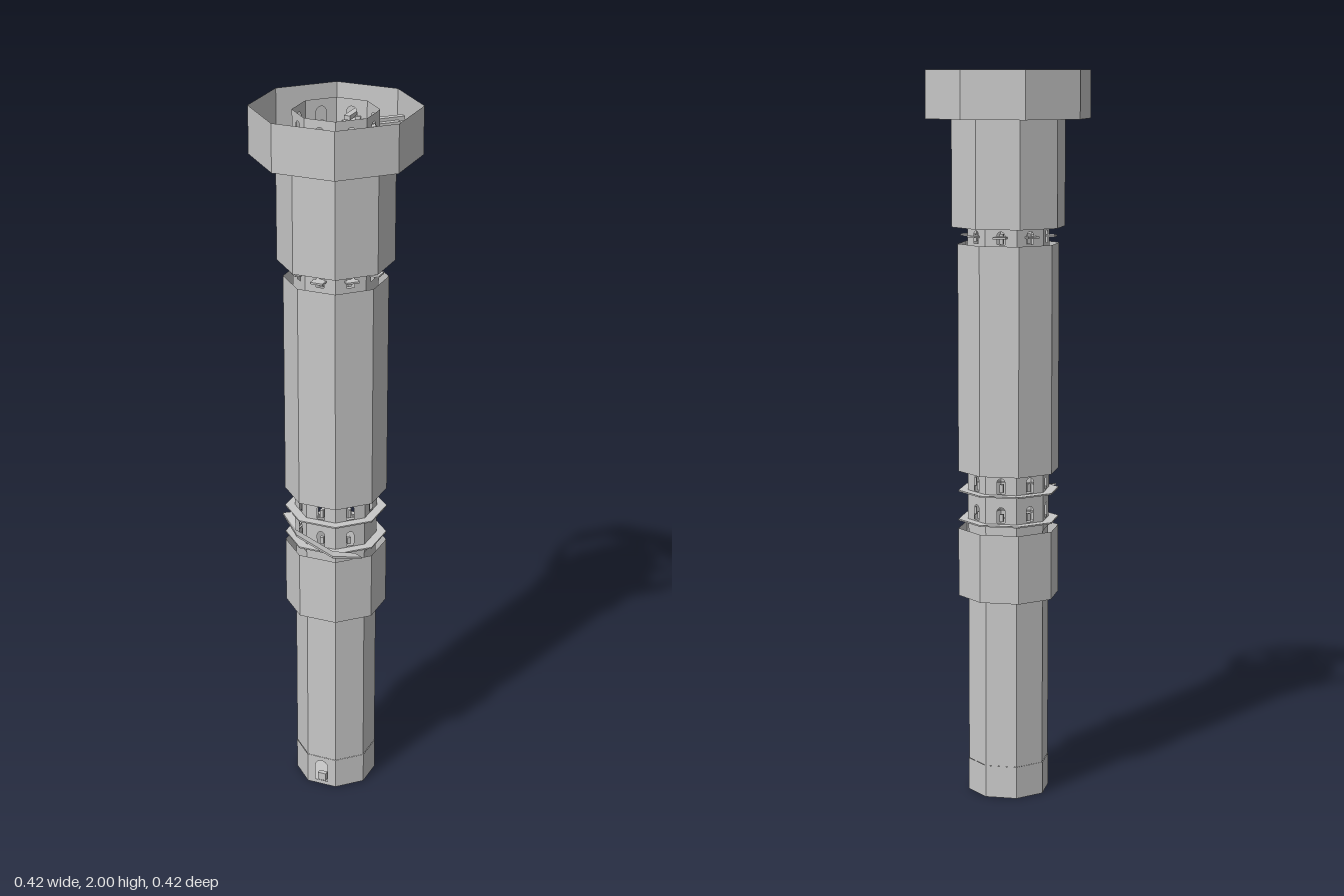
import * as THREE from 'three';

const stone = new THREE.MeshStandardMaterial({ color: 0xc8c8c8, side: THREE.DoubleSide, flatShading: true });
stone.name = 'pale grey';
const TAN = Math.tan(Math.PI / 8), COS = Math.cos(Math.PI / 8);

export function createModel() {
  const root = new THREE.Group();
  root.name = 'octagonalTower';

  const add = (name, geo, parent = root) => {
    const m = new THREE.Mesh(geo, stone);
    m.name = name;
    parent.add(m);
    return m;
  };

  // Open octagonal sleeve with flats facing the axes
  const sleeve = (name, apothem, y0, y1) => {
    const geo = new THREE.CylinderGeometry(apothem / COS, apothem / COS, y1 - y0, 8, 1, true);
    geo.rotateY(Math.PI / 8).translate(0, (y0 + y1) / 2, 0);
    add(name, geo);
  };

  const octagon = (T, apothem) => {
    const p = new T();
    for (let i = 0; i < 8; i++) {
      const a = Math.PI / 8 + i * Math.PI / 4, r = apothem / COS;
      p[i ? 'lineTo' : 'moveTo'](r * Math.cos(a), r * Math.sin(a));
    }
    return p.closePath();
  };

  // Flat octagonal floor, optionally ring shaped
  const plate = (name, apothem, y, inner = 0, depth = 0.004) => {
    const s = octagon(THREE.Shape, apothem);
    if (inner) s.holes.push(octagon(THREE.Path, inner));
    const geo = new THREE.ExtrudeGeometry(s, { depth, bevelEnabled: false });
    add(name, geo.rotateX(-Math.PI / 2).translate(0, y, 0));
  };

  // One side of the tower: group whose local +z points outward
  const side = (name, i) => {
    const g = new THREE.Group();
    g.name = name;
    g.rotation.y = i * Math.PI / 4;
    root.add(g);
    return g;
  };

  // Core wall band with arched openings on the chosen sides
  const archedBand = (name, apothem, y0, y1, archs, hasArch = () => true) => {
    const w = apothem * TAN;
    for (let i = 0; i < 8; i++) {
      const s = new THREE.Shape();
      s.moveTo(-w, y0).lineTo(w, y0).lineTo(w, y1).lineTo(-w, y1).closePath();
      for (const [b, h, r, row = 0] of archs) {
        if (!hasArch(i, row)) continue;
        const p = new THREE.Path();
        p.moveTo(-r, b).lineTo(-r, b + h - r);
        p.absarc(0, b + h - r, r, Math.PI, 0, true);
        p.lineTo(r, b).closePath();
        s.holes.push(p);
      }
      add('wall', new THREE.ShapeGeometry(s, 5).translate(0, 0, apothem), side(name, i));
    }
  };

  // Outer sleeves
  sleeve('lowerShaft', 0.104, 0.09, 0.56);
  sleeve('collar', 0.13, 0.56, 0.75);
  sleeve('upperShaft', 0.13, 0.91, 1.535);
  sleeve('head', 0.145, 1.58, 1.87);
  sleeve('crownRing', 0.21, 1.87, 2.0);

  // Inner core
  plate('baseFloor', 0.104, 0, 0, 0.002);
  archedBand('base', 0.105, 0, 0.09, [[0.012, 0.066, 0.019]], i => i === 0);
  sleeve('core', 0.103, 0.56, 0.75);
  archedBand('gallery', 0.105, 0.75, 0.91,
    [[0.78, 0.042, 0.011], [0.86, 0.042, 0.011, 1]], (i, row) => row === 1 || i !== 2);
  sleeve('core', 0.105, 0.91, 1.53);
  archedBand('neck', 0.105, 1.53, 1.59, [[1.538, 0.034, 0.011]]);
  sleeve('core', 0.105, 1.59, 1.87);
  archedBand('lookout', 0.105, 1.87, 1.99, [[1.925, 0.045, 0.014]]);
  plate('lookoutFloor', 0.104, 1.88);

  // Gallery walkways
  plate('lowerWalkway', 0.13, 0.772, 0.1);
  plate('upperWalkway', 0.13, 0.853, 0.1);

  // Ramp wrapping the front: outer x,z then inner x,z then height
  const steps = [
    [-0.115, 0.103, -0.088, 0.082, 0.857], [-0.042, 0.174, -0.056, 0.146, 0.836],
    [0.065, 0.174, 0.053, 0.146, 0.792], [0.126, 0.115, 0.1, 0.1, 0.774],
  ];
  const pos = [], idx = [];
  steps.forEach(([ox, oz, ix, iz, y], k) => {
    pos.push(ox, y, oz, ix, y, iz, ox, y - 0.006, oz, ix, y - 0.006, iz);
    if (!k) return;
    const a = 4 * (k - 1), b = 4 * k;
    for (const [p, q] of [[0, 1], [1, 3], [3, 2], [2, 0]])
      idx.push(a + p, b + p, b + q, a + p, b + q, a + q);
  });
  const rampGeo = new THREE.BufferGeometry();
  rampGeo.setAttribute('position', new THREE.Float32BufferAttribute(pos, 3));
  rampGeo.setIndex(idx);
  rampGeo.computeVertexNormals();
  add('ramp', rampGeo);

  const box = (name, parent, x0, x1, y0, y1, z0, z1) =>
    add(name, new THREE.BoxGeometry(x1 - x0, y1 - y0, z1 - z0)
      .translate((x0 + x1) / 2, (y0 + y1) / 2, (z0 + z1) / 2), parent);

  // Long beams jutting through the lookout: side, inner end, outer end
  for (const [i, z0, z1] of [[1, 0.035, 0.19], [2, 0.1, 0.193], [3, 0.075, 0.19], [4, 0.07, 0.195]]) {
    const g = side('beamMount', i);
    box('longBeam', g, -0.009, 0.008, 1.942, 1.954, z0, z1);
    box('shortBeam', g, -0.026, -0.011, 1.936, 1.946, z0 + 0.03, z1 - 0.02);
    box('mountBlock', g, -0.026, 0.026, 1.918, 1.93, 0.098, 0.138);
  }

  // Small fittings in the neck and gallery openings
  for (let i = 0; i < 8; i++) {
    const g = side('windowFitting', i);
    box('neckSill', g, -0.018, 0.018, 1.554, 1.559, 0.088, i % 2 ? 0.122 : 0.13);
    box('neckPost', g, -0.005, 0.005, 1.538, 1.566, 0.088, 0.098);
    box('galleryPost', g, -0.005, 0.005, 0.862, 0.885, 0.09, 0.1);
    box('lowerPost', g, -0.005, 0.005, 0.782, 0.802, 0.09, 0.1);
  }

  // Front canopy, and furniture inside the left-hand lookout windows
  box('frontSill', side('frontFitting', 0), -0.018, 0.018, 1.92, 1.928, 0.08, 0.142);
  for (const i of [5, 6, 7]) {
    const g = side('lookoutFitting', i);
    box('bench', g, -0.03, 0.03, 1.884, 1.9, 0.085, 0.103);
    box('sill', g, -0.014, 0.014, 1.92, 1.926, 0.08, 0.128);
  }

  // Small step inside the doorway
  box('doorStep', root, -0.012, 0.012, 0.012, 0.035, 0.09, 0.104);

  return root;
}
